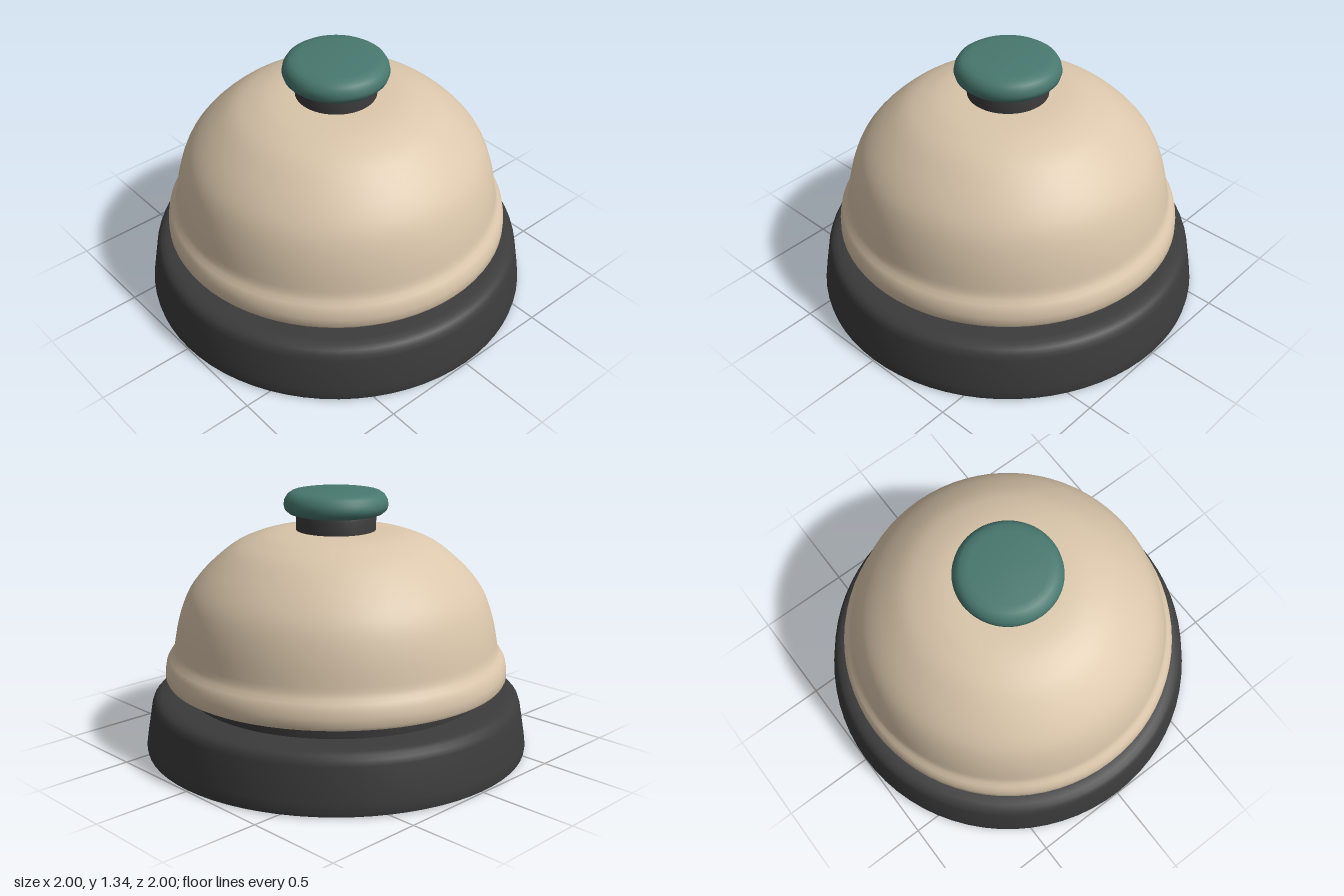
import * as THREE from 'three';
import { toCreasedNormals } from 'three/addons/utils/BufferGeometryUtils.js';

const material = (name, color) => {
  const m = new THREE.MeshStandardMaterial({ color });
  m.name = name;
  return m;
};

// Turns a profile of [radius, height] points, listed from the bottom up, around y.
function turned(name, profile, mat) {
  const points = profile.map(([r, y]) => new THREE.Vector2(r, y));
  const geometry = toCreasedNormals(new THREE.LatheGeometry(points, 72), 0.7);
  const mesh = new THREE.Mesh(geometry, mat);
  mesh.name = name;
  return mesh;
}

export function createModel() {
  const black = material('black', 0x3b3b3c);
  const cream = material('cream', 0xdac6ab);
  const teal = material('teal', 0x48786f);

  // Smooth dome curve from the rim to the flat crown
  const dome = new THREE.SplineCurve([
    [0.84, 0.54], [0.815, 0.67], [0.775, 0.79], [0.72, 0.88], [0.63, 0.975],
    [0.52, 1.06], [0.4, 1.11], [0.3, 1.13], [0.2, 1.137],
  ].map(([r, y]) => new THREE.Vector2(r, y))).getPoints(32).map((p) => [p.x, p.y]);

  const model = new THREE.Group();
  model.name = 'deskBell';
  model.add(
    // Flared foot with a rounded shoulder
    turned('base', [
      [0, 0], [0.985, 0], [0.997, 0.006], [1, 0.025], [0.995, 0.065], [0.966, 0.235],
      [0.957, 0.262], [0.94, 0.28], [0.915, 0.29], [0.88, 0.295], [0, 0.3],
    ], black),
    // Recessed collar between the foot and the bell
    turned('collar', [[0.775, 0.29], [0.775, 0.39]], black),
    // Bell with a closed underside and a rolled lip
    turned('bell', [
      [0, 0.385], [0.77, 0.385], [0.86, 0.372], [0.882, 0.376], [0.889, 0.39],
      [0.888, 0.43], [0.88, 0.47], [0.866, 0.495], [0.85, 0.515],
      ...dome, [0, 1.137],
    ], cream),
    // Plunger stem
    turned('stem', [[0.205, 1.12], [0.205, 1.205], [0.198, 1.225], [0, 1.225]], black),
    // Rounded push button
    turned('button', [
      [0, 1.218], [0.215, 1.218], [0.242, 1.225], [0.26, 1.242], [0.267, 1.265],
      [0.262, 1.292], [0.248, 1.315], [0.226, 1.33], [0.19, 1.336], [0, 1.336],
    ], teal),
  );
  return model;
}
